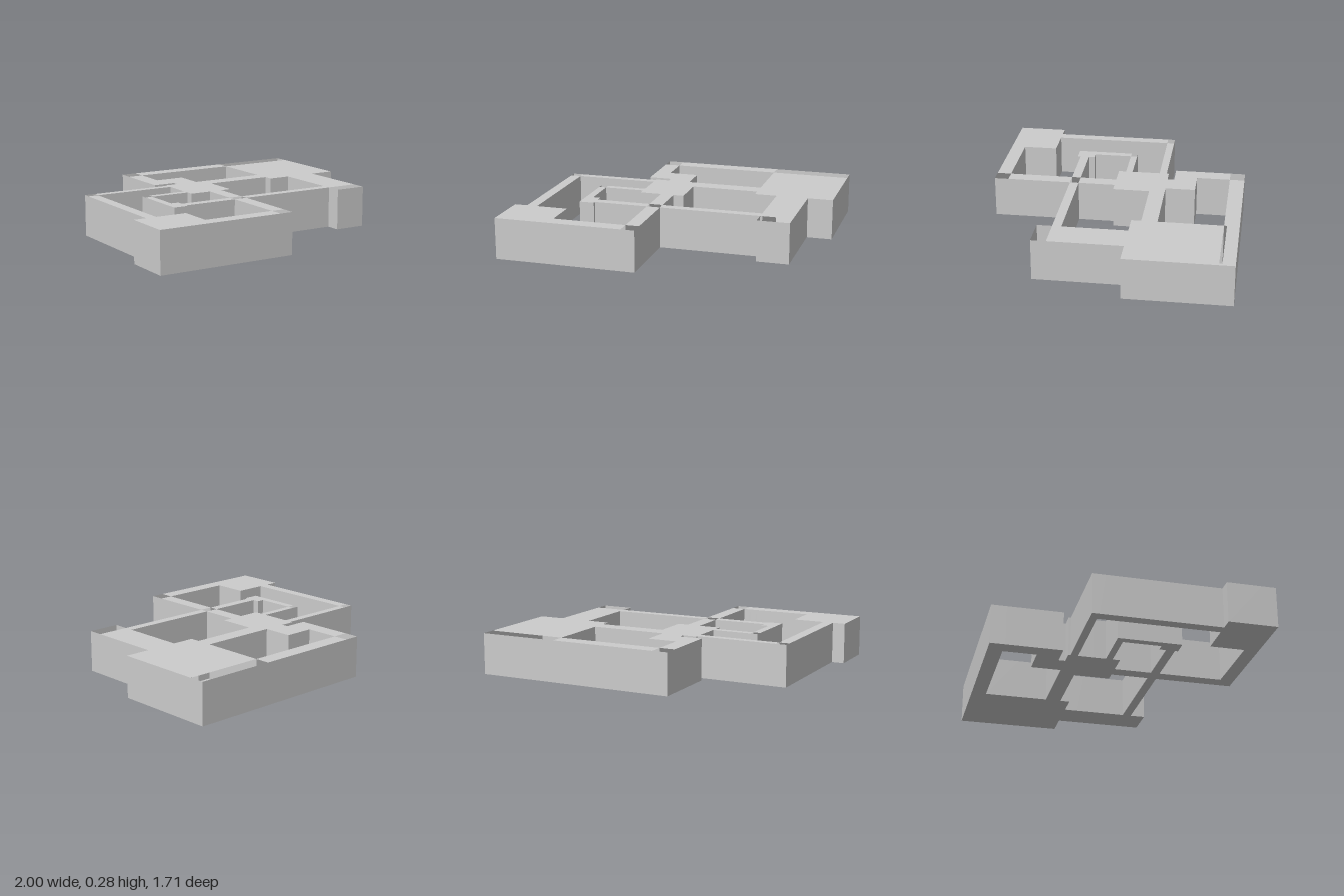
import * as THREE from 'three';

const H = 0.275;

// Plan rectangles: [x0, z0, x1, z1]
const rooms = [
  [0.465, -0.855, 1, -0.16],        // large back wing
  [-0.355, -0.855, 0.465, -0.755],  // back corridor
  [-0.355, -0.855, -0.25, -0.375],  // back side corridor
  [-0.355, -0.53, -0.2, -0.375],    // link to hub
  [-0.2, -0.53, -0.05, -0.33],      // hub annex
  [-0.295, -0.33, 0.01, 0.02],      // central hub
  [0.01, -0.33, 0.465, -0.225],     // hub to wing corridor
  [-0.915, -0.315, -0.295, -0.265], // outer loop, rear
  [-0.915, -0.315, -0.845, 0.53],   // outer loop, side
  [-1, 0.53, -0.635, 0.855],        // front corner room
  [-0.635, 0.76, -0.06, 0.855],     // front corridor
  [-0.15, 0.02, -0.06, 0.855],      // hub to front corridor
  [-0.615, -0.075, -0.295, -0.03],  // inner loop, rear
  [-0.615, -0.075, -0.565, 0.225],  // inner loop, side
  [-0.615, 0.225, -0.515, 0.35],    // small room
  [-0.515, 0.27, 0.615, 0.33],      // cross corridor
  [0.615, -0.16, 0.83, 0.43],       // front arm of wing
];

// Open patches in the roof
const openings = [
  [0.465, -0.855, 1, -0.755],
  [-0.355, -0.855, -0.25, -0.755],
  [-0.915, -0.315, -0.845, -0.265],
  [-0.615, -0.075, -0.565, -0.03],
  [-0.15, 0.27, -0.06, 0.33],
  [-0.15, 0.76, -0.06, 0.855],
  [0.615, 0.33, 0.83, 0.43],
];

const inside = (rects, x, z) =>
  rects.some(([x0, z0, x1, z1]) => x > x0 && x < x1 && z > z0 && z < z1);

// Four corners counter-clockwise, seen from the visible side
function quad(out, a, b, c, d) {
  out.push(...a, ...b, ...c, ...a, ...c, ...d);
}

export function createModel() {
  const group = new THREE.Group();
  const material = new THREE.MeshStandardMaterial({
    color: 0xcccccc, flatShading: true, side: THREE.DoubleSide,
  });
  const all = [...rooms, ...openings];
  const lines = (i, j) => [...new Set(all.flatMap(r => [r[i], r[j]]))].sort((a, b) => a - b);
  const xs = lines(0, 2), zs = lines(1, 3);
  const mid = (list, i) => (list[i] + list[i + 1]) / 2; // NaN beyond the edge counts as empty
  const filled = (i, j) => inside(rooms, mid(xs, i), mid(zs, j));
  const parts = { floor: [], roof: [], walls: [] };

  // Hollow shell: floor and roof per plan cell, walls where a cell meets empty space
  for (let i = 0; i < xs.length - 1; i++) {
    for (let j = 0; j < zs.length - 1; j++) {
      if (!filled(i, j)) continue;
      const x0 = xs[i], x1 = xs[i + 1], z0 = zs[j], z1 = zs[j + 1];
      quad(parts.floor, [x0, 0, z0], [x1, 0, z0], [x1, 0, z1], [x0, 0, z1]);
      if (!inside(openings, mid(xs, i), mid(zs, j))) {
        quad(parts.roof, [x0, H, z1], [x1, H, z1], [x1, H, z0], [x0, H, z0]);
      }
      const wall = (ax, az, bx, bz) =>
        quad(parts.walls, [ax, 0, az], [bx, 0, bz], [bx, H, bz], [ax, H, az]);
      if (!filled(i, j + 1)) wall(x0, z1, x1, z1);
      if (!filled(i, j - 1)) wall(x1, z0, x0, z0);
      if (!filled(i + 1, j)) wall(x1, z1, x1, z0);
      if (!filled(i - 1, j)) wall(x0, z0, x0, z1);
    }
  }

  for (const [name, points] of Object.entries(parts)) {
    const geometry = new THREE.BufferGeometry();
    geometry.setAttribute('position', new THREE.Float32BufferAttribute(points, 3));
    geometry.computeVertexNormals();
    const mesh = new THREE.Mesh(geometry, material);
    mesh.name = name;
    group.add(mesh);
  }
  return group;
}
